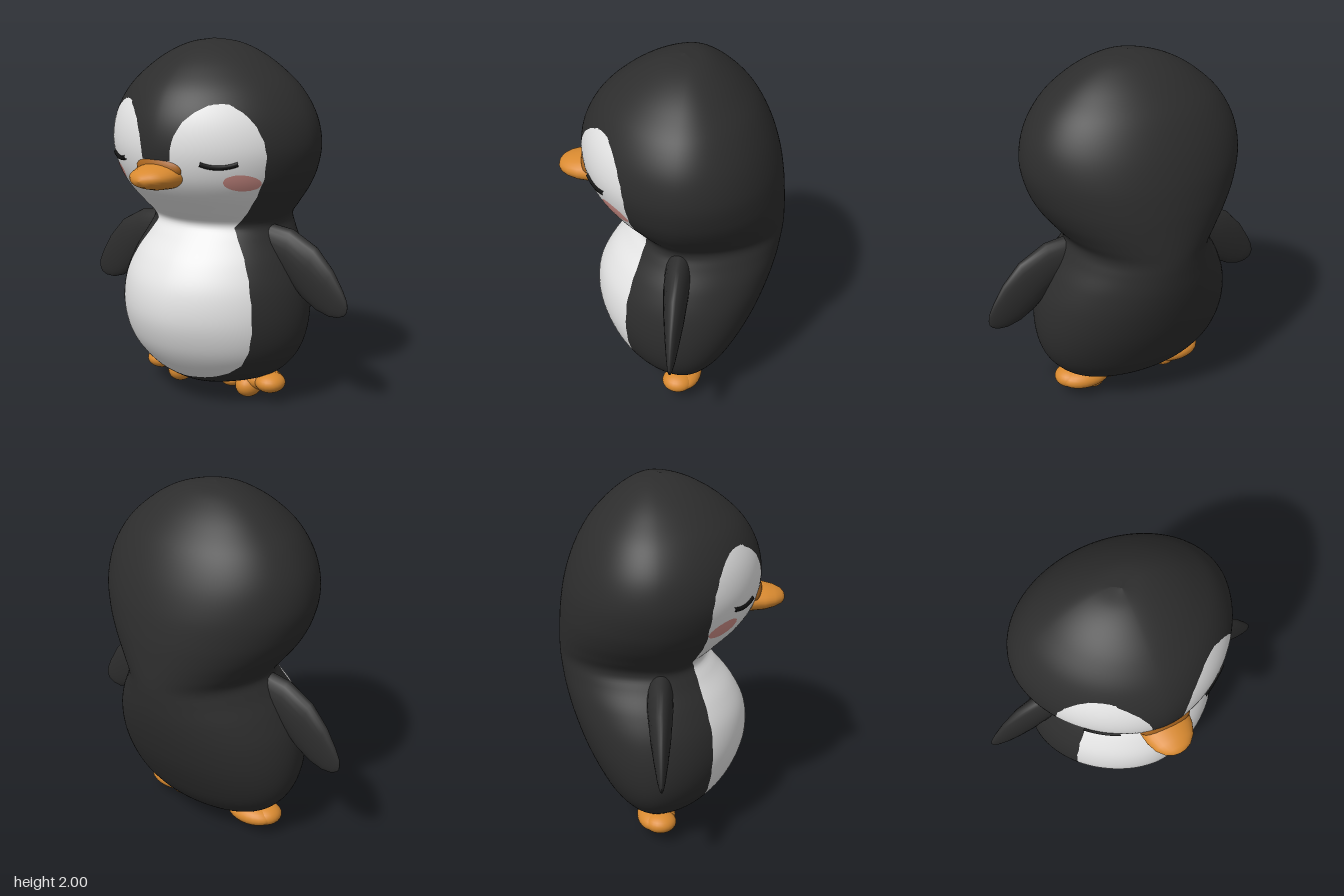
import * as THREE from 'three';

const mat = (name, color) => Object.assign(new THREE.MeshStandardMaterial({ color }), { name });
const black = mat('charcoal feathers', 0x2d2d2d);
const white = mat('white feathers', 0xe6e6e6);
const pink = mat('blush', 0xd3918a);
const orange = mat('orange', 0xd98a30);
const brown = mat('dark orange', 0xa9651f);
const ink = mat('eye black', 0x121212);

// Body profile, bottom to top: y, half width, front z, back z
const profile = [
  [0.065, 0, -0.05, -0.05], [0.085, 0.16, 0.07, -0.15], [0.15, 0.36, 0.2, -0.27],
  [0.25, 0.48, 0.3, -0.36], [0.37, 0.545, 0.375, -0.43], [0.52, 0.565, 0.42, -0.5],
  [0.68, 0.545, 0.41, -0.555], [0.82, 0.49, 0.345, -0.59], [0.94, 0.42, 0.25, -0.608],
  [1.02, 0.39, 0.2, -0.615], [1.1, 0.445, 0.28, -0.615], [1.2, 0.52, 0.385, -0.61],
  [1.31, 0.575, 0.455, -0.6], [1.45, 0.605, 0.485, -0.575], [1.6, 0.58, 0.465, -0.525],
  [1.74, 0.5, 0.395, -0.45], [1.85, 0.385, 0.285, -0.355], [1.93, 0.265, 0.165, -0.26],
  [1.98, 0.14, 0.05, -0.17], [2.0, 0, -0.06, -0.06],
];
const spline = new THREE.CubicInterpolant(profile.map((_, i) => i), profile.flat(), 4);
const LAST = profile.length - 1;

// Point on the body at profile position t and angle a (0 = front, + toward +x)
function bodyPoint(t, a) {
  const [y, w, zf, zb] = spline.evaluate(t);
  const mid = Math.max(zb, Math.min(zf, -0.09));
  const s = Math.sin(a), c = Math.cos(a), e = c > 0 ? 1.12 : 1;
  const pow = (v) => Math.sign(v) * Math.abs(v) ** e;
  return new THREE.Vector3(w * pow(s), y, mid + pow(c) * (c > 0 ? zf - mid : mid - zb));
}

// Point on the front of the body at a given x and y
function onFront(x, y) {
  let lo = 0, hi = LAST;
  for (let i = 0; i < 40; i++) {
    const m = (lo + hi) / 2;
    if (spline.evaluate(m)[0] < y) lo = m; else hi = m;
  }
  const w = spline.evaluate(lo)[1];
  const s = Math.min(1, Math.abs(x) / w) ** (1 / 1.12);
  return bodyPoint(lo, Math.sign(x) * Math.asin(s));
}

// Smooth skin over closed rings of points
function loft(rings) {
  const n = rings[0].length, index = [];
  for (let i = 0; i < rings.length - 1; i++)
    for (let j = 0; j < n; j++) {
      const k = (j + 1) % n, a = i * n + j, b = i * n + k;
      index.push(a, b, b + n, a, b + n, a + n);
    }
  const g = new THREE.BufferGeometry().setFromPoints(rings.flat());
  g.setIndex(index);
  g.computeVertexNormals();
  return g;
}

const ringOf = (n, f) => Array.from({ length: n }, (_, j) => f((j / n) * Math.PI * 2));

// Cut triangles along f = 0; returns those with f > 0 and the rest
function split(tris, f) {
  const inside = [], outside = [];
  for (const tri of tris) {
    const d = tri.map(f), poly = [[], []];
    tri.forEach((p, i) => {
      const k = (i + 1) % 3, q = tri[k];
      poly[d[i] > 0 ? 0 : 1].push(p);
      if (d[i] > 0 !== d[k] > 0) {
        const u = d[i] / (d[i] - d[k]), cut = p.map((v, c) => v + (q[c] - v) * u);
        poly[0].push(cut);
        poly[1].push(cut);
      }
    });
    poly.forEach((pts, side) => {
      for (let i = 1; i < pts.length - 1; i++) (side ? outside : inside).push([pts[0], pts[i], pts[i + 1]]);
    });
  }
  return [inside, outside];
}

function trisToGeometry(tris) {
  const v = tris.flat(), g = new THREE.BufferGeometry();
  g.setAttribute('position', new THREE.Float32BufferAttribute(v.flatMap((p) => p.slice(0, 3)), 3));
  g.setAttribute('normal', new THREE.Float32BufferAttribute(v.flatMap((p) => p.slice(3)), 3));
  return g;
}

// Outer edge of the white front and inner edge above the beak: y, |x|
const outerEdge = [
  [0.15, -0.02], [0.157, 0.08], [0.175, 0.17], [0.21, 0.26], [0.27, 0.345], [0.36, 0.4],
  [0.48, 0.428], [0.62, 0.425], [0.75, 0.395], [0.86, 0.345], [0.95, 0.285], [1.01, 0.25],
  [1.04, 0.28], [1.1, 0.34], [1.2, 0.42], [1.3, 0.475], [1.42, 0.5], [1.5, 0.49],
  [1.58, 0.455], [1.64, 0.405], [1.675, 0.35], [1.69, 0.29],
];
const innerEdge = [
  [1.36, -1], [1.38, 0.085], [1.45, 0.09], [1.52, 0.105], [1.6, 0.145], [1.65, 0.195],
  [1.68, 0.245], [1.69, 0.29],
];
function lookup(table, y) {
  const i = table.findIndex((r) => r[0] >= y);
  if (i <= 0) return i < 0 ? table.at(-1)[1] : table[0][1];
  const [y0, v0] = table[i - 1], [y1, v1] = table[i];
  return v0 + ((v1 - v0) * (y - y0)) / (y1 - y0);
}
const whiteArea = ([x, y, z]) => {
  if (z < -0.05 || y < 0.15 || y > 1.69) return -0.02;
  return Math.min(lookup(outerEdge, y) - Math.abs(x), Math.abs(x) - lookup(innerEdge, y));
};
const blushArea = ([x, y]) => 1 - Math.hypot((Math.abs(x) - 0.39) / 0.072, (y - 1.285) / 0.046);

export function createModel() {
  const model = new THREE.Group();
  const add = (name, geometry, material, parent = model) => {
    const m = new THREE.Mesh(geometry, material);
    m.name = name;
    parent.add(m);
    return m;
  };
  const ellipsoid = (name, material, pos, radii, parent) => {
    const m = add(name, new THREE.SphereGeometry(1, 24, 16), material, parent);
    m.position.set(...pos);
    m.scale.set(...radii);
    return m;
  };

  // Head and body in one skin, cut into feather colours
  const rows = 114;
  const skin = loft(Array.from({ length: rows + 1 }, (_, i) =>
    ringOf(120, (a) => bodyPoint((i / rows) * LAST, a)))).toNonIndexed();
  const P = skin.attributes.position, N = skin.attributes.normal, tris = [];
  const vert = (i) => [P.getX(i), P.getY(i), P.getZ(i), N.getX(i), N.getY(i), N.getZ(i)];
  for (let i = 0; i < P.count; i += 3) tris.push([vert(i), vert(i + 1), vert(i + 2)]);
  const [front, coat] = split(tris, whiteArea);
  const [blush, bib] = split(front, blushArea);
  add('bodyCoat', trisToGeometry(coat), black);
  add('faceAndBelly', trisToGeometry(bib), white);
  add('cheekBlush', trisToGeometry(blush), pink);

  // Beak: centre y, half width, half height, z
  const beak = [
    [1.32, 0.143, 0.08, 0.36], [1.315, 0.14, 0.075, 0.43], [1.312, 0.13, 0.066, 0.5],
    [1.312, 0.108, 0.053, 0.555], [1.31, 0.072, 0.037, 0.595], [1.308, 0.035, 0.02, 0.612], [1.307, 0, 0, 0.618],
  ];
  add('beak', loft(beak.map(([y, w, h, z]) =>
    ringOf(28, (a) => new THREE.Vector3(w * Math.cos(a), y + h * Math.sin(a), z)))), orange);
  ellipsoid('beakRim', brown, [0, 1.355, 0.44], [0.142, 0.073, 0.052]);

  // Flipper: top edge x, y, bottom edge x, y, half thickness
  const flipper = [
    [0.34, 1.02, 0.4, 0.8, 0.07], [0.5, 1.0, 0.49, 0.72, 0.068], [0.65, 0.92, 0.575, 0.63, 0.055],
    [0.75, 0.81, 0.66, 0.575, 0.038], [0.81, 0.71, 0.735, 0.552, 0.024], [0.838, 0.65, 0.79, 0.555, 0.014],
    [0.842, 0.615, 0.823, 0.57, 0.007], [0.838, 0.59, 0.838, 0.59, 0],
  ];
  const flipperGeo = loft(flipper.map(([tx, ty, bx, by, t]) => ringOf(24, (a) => {
    const c = Math.cos(a) / 2;
    return new THREE.Vector3((tx + bx) / 2 + (tx - bx) * c, (ty + by) / 2 + (ty - by) * c, t * Math.sin(a));
  })));

  for (const [side, s] of [['left', 1], ['right', -1]]) {
    const arm = add(side + 'Flipper', flipperGeo, black);
    arm.position.z = -0.07;
    if (s < 0) arm.rotation.y = Math.PI;

    // Closed eye: a drooping lash line lying on the face
    const lash = Array.from({ length: 9 }, (_, i) => {
      const u = i / 4 - 1;
      return onFront(s * (0.315 + 0.08 * u), 1.372 + 0.018 * u * u);
    });
    add(side + 'ClosedEye', new THREE.TubeGeometry(new THREE.CatmullRomCurve3(lash), 24, 0.013, 8), ink);

    // Foot: heel dome and three toes
    const foot = new THREE.Group();
    foot.name = side + 'Foot';
    model.add(foot);
    ellipsoid('heel', orange, [s * 0.29, 0.108, -0.105], [0.15, 0.062, 0.095], foot);
    ellipsoid('outerToe', orange, [s * 0.375, 0.11, -0.07], [0.085, 0.056, 0.088], foot);
    ellipsoid('middleToe', orange, [s * 0.235, 0.068, -0.068], [0.072, 0.068, 0.085], foot);
    ellipsoid('innerToe', orange, [s * 0.13, 0.088, -0.072], [0.07, 0.045, 0.08], foot);
  }
  return model;
}
